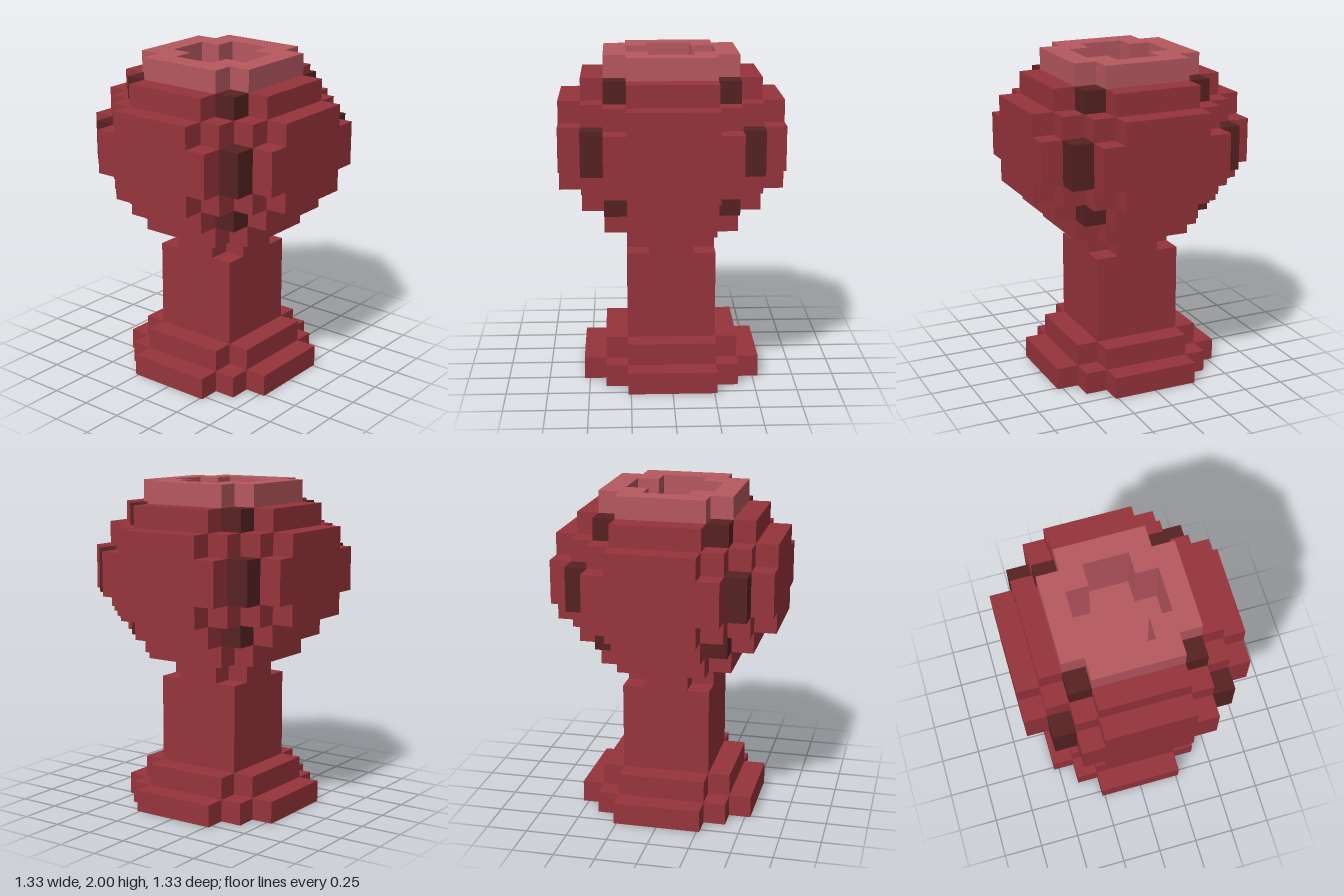
import * as THREE from 'three';

const U = 2 / 15; // edge of one block; the model is 15 blocks tall

const mats = {
  red: new THREE.MeshStandardMaterial({ color: 0x97343c }),
  dark: new THREE.MeshStandardMaterial({ color: 0x562122 }),
  pink: new THREE.MeshStandardMaterial({ color: 0xb6585f }),
};
for (const [key, mat] of Object.entries(mats)) mat.name = { red: 'red', dark: 'dark maroon', pink: 'pale rose' }[key];

// Stepped outline: widths[i] is the half width (in blocks) of row i counted from the middle.
function outline(widths, grow = 0) {
  const quarter = [];
  widths.forEach((w, i) => {
    if (i > 0 && w !== widths[i - 1]) quarter.push([w + grow, i + grow]);
    if (w !== widths[i + 1]) quarter.push([w + grow, i + 1 + grow]);
  });
  const back = [...quarter].reverse();
  const mirror = (pts, sx, sy) => pts.map(([x, y]) => new THREE.Vector2(x * sx * U, y * sy * U));
  return [...mirror(quarter, 1, 1), ...mirror(back, -1, 1), ...mirror(quarter, -1, -1), ...mirror(back, 1, -1)];
}

// Slab with a stepped outline, standing on layer `level`.
function slab(name, mat, level, height, points, hole) {
  const shape = new THREE.Shape(points);
  if (hole) shape.holes.push(new THREE.Path(hole));
  const geo = new THREE.ExtrudeGeometry(shape, { depth: height * U, bevelEnabled: false });
  geo.rotateX(-Math.PI / 2);
  const mesh = new THREE.Mesh(geo, mat);
  mesh.name = name;
  mesh.position.y = level * U;
  return mesh;
}

// Four mirrored corner blocks; `cell` is the block index from the middle.
function corners(name, level, height, cell) {
  const group = new THREE.Group();
  group.name = name;
  const geo = new THREE.BoxGeometry(U, height * U, U);
  for (const sx of [-1, 1]) for (const sz of [-1, 1]) {
    const block = new THREE.Mesh(geo, mats.dark);
    block.name = 'darkCornerBlock';
    block.position.set(sx * (cell + 0.5) * U, (level + height / 2) * U, sz * (cell + 0.5) * U);
    group.add(block);
  }
  return group;
}

export function createModel() {
  const model = new THREE.Group();
  model.name = 'blockGoblet';

  const well = [2, 1]; // cross-shaped opening
  const opening = outline(well);
  const liningOuter = outline(well, 0.05);

  // Foot, stem and bowl, bottom to top: name, level, height, half widths, pierced by the well
  const layers = [
    ['footBottom', 0, 1, [4, 4, 3, 2]],
    ['footTop', 1, 1, [3, 3, 2]],
    ['stem', 2, 4, [2, 2]],
    ['stemNeck', 6, 1, [2, 1]],
    ['bowlBottom', 7, 1, [3, 3, 2]],
    ['bowlLowerStep', 8, 1, [4, 4, 2, 2]],
    ['bowlLowerBelly', 9, 1, [5, 5, 4, 3, 2]],
    ['bowlBelly', 10, 2, [5, 5, 5, 3, 3]],
    ['bowlUpperBelly', 12, 1, [5, 5, 4, 3, 2], true],
    ['bowlUpperStep', 13, 1, [4, 4, 2, 2], true],
  ];
  for (const [name, level, height, widths, pierced] of layers) {
    model.add(slab(name, mats.red, level, height, outline(widths), pierced && liningOuter));
  }

  // Dark blocks in the corners of the bowl
  model.add(corners('lowerCorners', 8, 1, 2));
  model.add(corners('bellyCorners', 10, 2, 3));
  model.add(corners('upperCorners', 13, 1, 2));

  // Pale rim, well lining and well floor
  model.add(slab('rim', mats.pink, 14, 1, outline([3, 3, 2]), opening));
  model.add(slab('wellLining', mats.pink, 12, 2, liningOuter, opening));
  model.add(slab('wellFloor', mats.pink, 12, 0.04, opening));

  return model;
}
